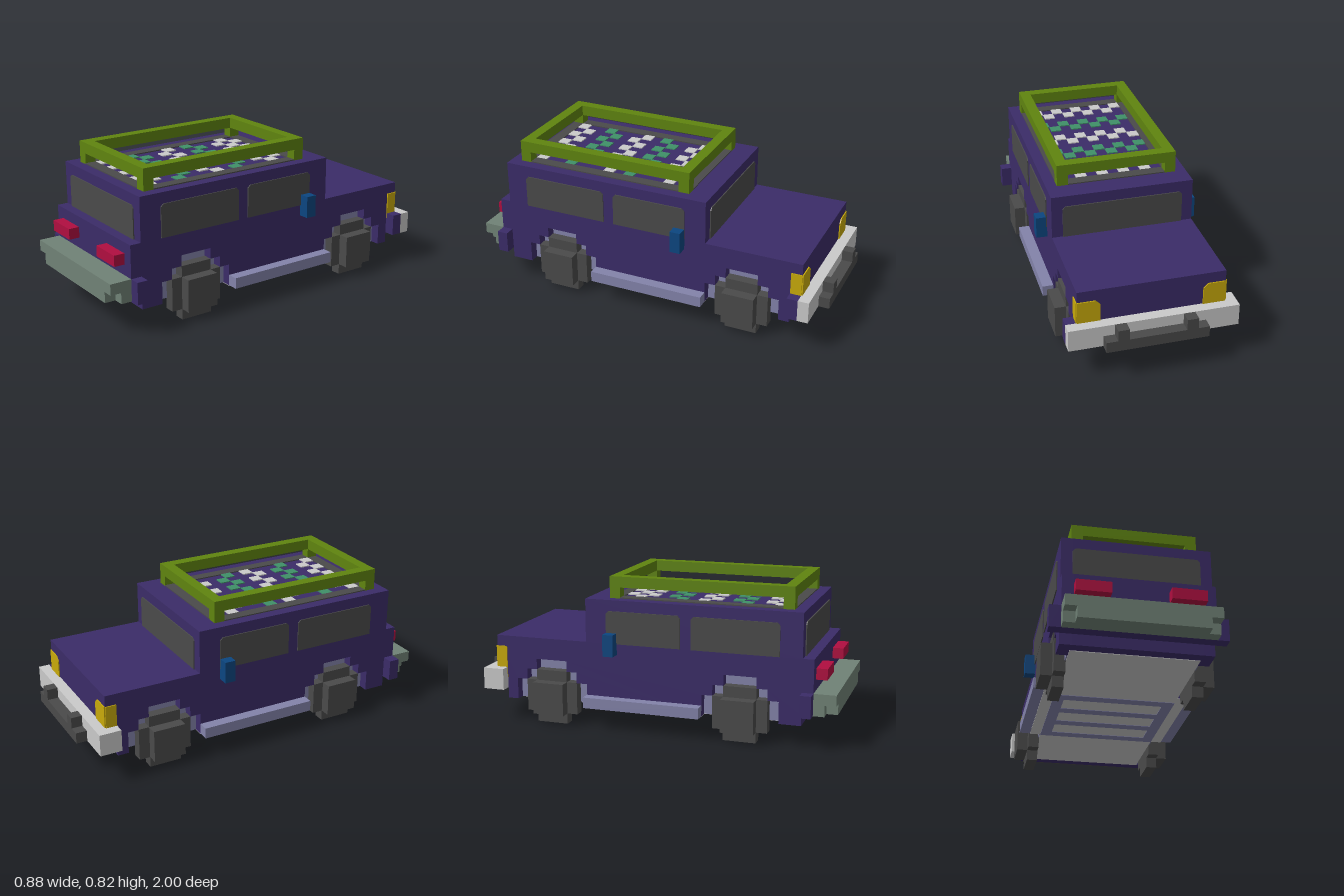
import * as THREE from 'three';

const U = 1 / 17; // block unit
const T = 0.1;    // thickness of painted plates, in units

const mat = (name, color) => Object.assign(new THREE.MeshStandardMaterial({ color }), { name });

export function createModel() {
  const car = new THREE.Group();
  car.name = 'offRoadCar';
  const purple = mat('purple paint', 0x3b2c68), olive = mat('olive rack', 0x5f840f),
    red = mat('red lamp', 0xb00e40), blue = mat('blue mirror', 0x0c4680),
    yellow = mat('yellow lamp', 0xc8aa0a), white = mat('light grey', 0xcacaca),
    sage = mat('sage grey', 0x708276), dark = mat('dark grey', 0x4a4a4a),
    lavender = mat('lavender trim', 0x8383aa), green = mat('green patch', 0x3f9068);

  const add = (name, geo, m, parent = car) => {
    const mesh = new THREE.Mesh(geo, m);
    mesh.name = name;
    parent.add(mesh);
    return mesh;
  };
  // box given by its limits in block units
  const box = (name, m, x0, x1, y0, y1, z0, z1, parent) => {
    const g = new THREE.BoxGeometry((x1 - x0) * U, (y1 - y0) * U, (z1 - z0) * U);
    g.translate((x0 + x1) / 2 * U, (y0 + y1) / 2 * U, (z0 + z1) / 2 * U);
    return add(name, g, m, parent);
  };
  // same box on both sides of the car
  const pair = (name, m, x0, x1, ...r) => {
    box(name, m, x0, x1, ...r);
    box(name, m, -x1, -x0, ...r);
  };
  // side profile of [z, y] points, extruded from x0 to x1
  const profile = (name, m, pts, x0, x1) => {
    const s = new THREE.Shape(pts.map(([z, y]) => new THREE.Vector2(z * U, y * U)));
    const g = new THREE.ExtrudeGeometry(s, { depth: (x1 - x0) * U, bevelEnabled: false });
    g.rotateY(-Math.PI / 2).translate(x1 * U, 0, 0);
    return add(name, g, m);
  };
  // outline with clipped top corners
  const paneOutline = (a0, a1, y0, y1, c = 0.25) =>
    [[a0, y0], [a1, y0], [a1, y1 - c], [a1 - c, y1], [a0 + c, y1], [a0, y1 - c]];

  // body: solid core and side panels with stepped wheel arches
  const upper = [[15, 3], [15, 8], [14, 8], [14, 12], [-6, 12], [-6, 8], [-15, 8], [-15, 3], [-14, 3], [-14, 2]];
  const arch = z => [[-3.5, 2], [-3.5, 4], [-2.5, 4], [-2.5, 5], [-1.5, 5], [-1.5, 6],
    [1.5, 6], [1.5, 5], [2.5, 5], [2.5, 4], [3.5, 4], [3.5, 2]].map(([a, y]) => [a + z, y]);
  const axles = [-9.5, 8.5];
  const panel = [...upper, ...axles.flatMap(arch), [14, 2], [14, 3]];
  profile('bodyCore', purple, [...upper, [14, 2], [14, 3]], -5.5, 5.5);
  profile('sidePanel', purple, panel, 5.5, 6.5);
  profile('sidePanel', purple, panel, -6.5, -5.5);

  // wheels and arch linings
  for (const z of axles) {
    for (const s of [-1, 1]) {
      const a = s * 5.5, o = a + s * T;
      profile('archLining', lavender, arch(z), Math.min(a, o), Math.max(a, o));
    }
    pair('tyreUpright', dark, 5.5, 6.5, 0, 5, z - 1.5, z + 1.5);
    pair('tyreFront', dark, 5.5, 6.5, 1, 4, z - 2.5, z - 1.5);
    pair('tyreRear', dark, 5.5, 6.5, 1, 4, z + 1.5, z + 2.5);
    pair('wheelHub', dark, 6.5, 7.5, 1, 4, z - 1.5, z + 1.5);
  }
  pair('sideStep', lavender, 6.5, 7.5, 2, 3, -6, 5);

  // windows
  for (const [z0, z1] of [[4, 12], [-4, 3]]) {
    profile('sideWindow', dark, paneOutline(z0, z1, 8, 11), 6.5, 6.5 + T);
    profile('sideWindow', dark, paneOutline(z0, z1, 8, 11), -6.5 - T, -6.5);
  }
  for (const [name, z] of [['rearWindow', 14], ['windscreen', -6 - T]]) {
    const s = new THREE.Shape(paneOutline(-5.5, 5.5, 8, 11).map(([x, y]) => new THREE.Vector2(x * U, y * U)));
    const g = new THREE.ExtrudeGeometry(s, { depth: T * U, bevelEnabled: false });
    add(name, g.translate(0, 0, z * U), dark);
  }

  // mirrors and lamps
  pair('mirror', blue, 6.5, 7.5, 7, 9, -4, -3);
  pair('tailLamp', red, 2.5, 5.5, 6, 7, 15, 16);
  for (const s of [-1, 1]) {
    const inner = s * 4.5, outer = s * 6.5;
    const pts = [[inner, 5], [outer, 5], [outer, 7], [inner + s * 0.4, 7], [inner, 6.6]];
    const shape = new THREE.Shape(pts.map(([x, y]) => new THREE.Vector2(x * U, y * U)));
    const g = new THREE.ExtrudeGeometry(shape, { depth: T * U, bevelEnabled: false });
    add('headlamp', g.translate(0, 0, (-15 - T) * U), yellow);
  }
  pair('headlampSide', yellow, 6.5, 6.5 + T, 4, 7, -15, -14);

  // front bumper and bull bar
  box('frontBumper', white, -7.5, 7.5, 3, 5, -16, -15);
  box('frontBumperEnd', white, -7.5, -6.5, 3, 5, -15, -14);
  box('frontBumperEnd', purple, 6.5, 7.5, 3, 5, -15, -14);
  box('bullBar', dark, -4.5, 4.5, 3, 4, -17, -16);
  pair('bullBarPost', dark, 2.5, 3.5, 4, 5, -17, -16);

  // rear bumper
  box('rearBumperTop', sage, -6.5, 6.5, 4, 5, 15, 17);
  box('rearBumperLower', sage, -6.5, 6.5, 3, 4, 15, 16);
  box('rearBumperLip', sage, -5.5, 5.5, 3, 4, 16, 17);
  pair('rearBumperEnd', purple, 6.5, 7.5, 3, 5, 14, 15);

  // underside plate with cross ribs
  box('floorPlate', white, -5.5, 5.5, 2 - T / 2, 2, -13, 13);
  pair('floorEdge', white, 5.5, 6.5, 2 - T / 2, 2, -6, 5);
  for (const z of [-6, -3, 0, 3])
    box('floorRib', lavender, -5.5, 5.5, 2 - T, 2, z, z + 1);
  pair('floorRibSide', lavender, 4.5, 5.5, 2 - T, 2, -6, 4);

  // roof rack
  const rack = new THREE.Group();
  rack.name = 'roofRack';
  car.add(rack);
  for (const s of [-1, 1]) {
    const x0 = s * 5 - 0.5, x1 = x0 + 1;
    box('rackRail', olive, x0, x1, 13, 14, -4, 13, rack);
    box('roofStrip', dark, x0, x1, 12, 12 + T, -3, 12, rack);
    for (const z of [-4, 12]) box('rackLeg', olive, x0, x1, 12, 13, z, z + 1, rack);
  }
  for (const z of [-4, 12]) {
    box('rackCrossRail', olive, -4.5, 4.5, 13, 14, z, z + 1, rack);
    box('roofStrip', dark, -4.5, 4.5, 12, 12 + T, z, z + 1, rack);
  }

  // chequered bands on the roof: [first row, rows, first cell, material]
  const bands = [[-3, 3, 1, white], [1, 2, 1, green], [4, 2, 0, white], [7, 2, 1, green], [10, 2, 1, white]];
  for (const [z, rows, first, m] of bands)
    for (let r = 0; r < rows; r++)
      for (let c = (first + r) % 2; c < 9; c += 2)
        box('roofPatch', m, c - 4.5, c - 3.5, 12, 12 + T, z + r, z + r + 1);

  return car;
}
